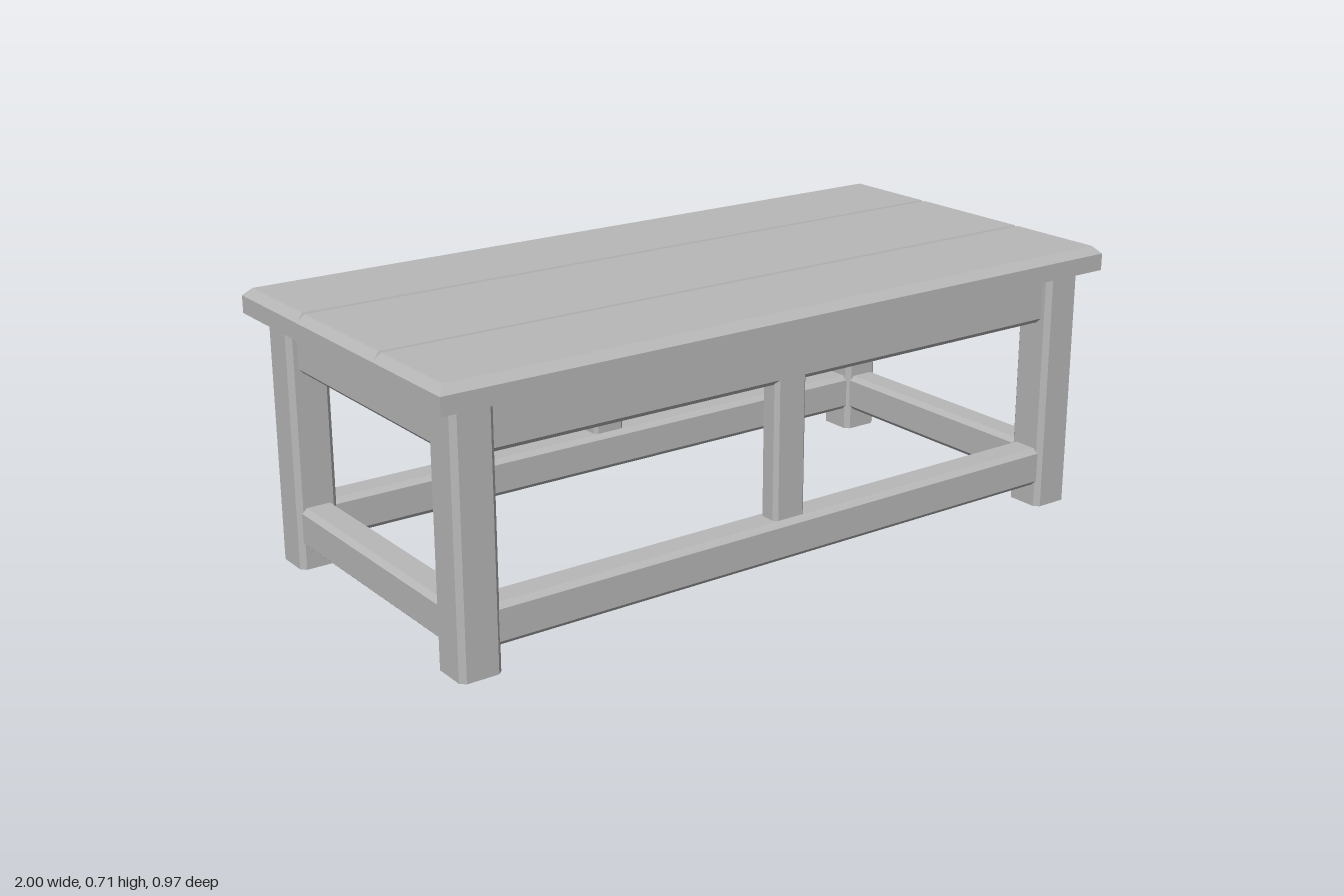
import * as THREE from 'three';

const wood = new THREE.MeshStandardMaterial({ color: 0xb8b8b8 });
wood.name = 'grey wood';

// Closed shape extruded along z and centred on z = 0
function prism(points, length) {
  const shape = new THREE.Shape(points.map(([x, y]) => new THREE.Vector2(x, y)));
  const geometry = new THREE.ExtrudeGeometry(shape, { depth: length, bevelEnabled: false });
  return geometry.translate(0, 0, -length / 2);
}

// Beam along z whose four long edges are chamfered
function beam(width, height, length, c = 0.013) {
  const w = width / 2, h = height / 2;
  return prism([
    [-w + c, -h], [w - c, -h], [w, -h + c], [w, h - c],
    [w - c, h], [-w + c, h], [-w, h - c], [-w, -h + c],
  ], length);
}

export function createModel() {
  const model = new THREE.Group();
  model.name = 'coffeeTable';

  function add(name, geometry, x, y, z) {
    const mesh = new THREE.Mesh(geometry, wood);
    mesh.name = name;
    mesh.position.set(x, y, z);
    model.add(mesh);
  }

  // Table top: square slab, then a bevelled layer with two V grooves
  const edgeY = 0.695, topY = 0.715, half = 0.485, bevel = topY - edgeY;
  add('topSlab', new THREE.BoxGeometry(2, 0.045, half * 2), 0, edgeY - 0.0225, 0);

  const profile = [[-half, 0], [half, 0], [half - bevel, bevel]];
  for (const z of [0.187, -0.187]) {
    profile.push([z + 0.007, bevel], [z, 0.005], [z - 0.007, bevel]);
  }
  profile.push([-half + bevel, bevel]);
  const planks = prism(profile, 2).rotateY(Math.PI / 2);
  // Slope the ends inward to match the long bevels
  const p = planks.attributes.position;
  for (let i = 0; i < p.count; i++) {
    p.setX(i, Math.sign(p.getX(i)) * (1 - p.getY(i)));
  }
  planks.computeVertexNormals();
  add('topPlanks', planks, 0, edgeY, 0);

  // Legs
  const legX = 0.9, legZ = 0.395;
  const leg = beam(0.11, 0.11, 0.652).rotateX(Math.PI / 2);
  for (const sx of [1, -1]) {
    for (const sz of [1, -1]) add('leg', leg, sx * legX, 0.326, sz * legZ);
  }

  // Aprons under the top, stretchers near the floor
  const longApron = beam(0.06, 0.14, 1.72).rotateY(Math.PI / 2);
  const longStretcher = beam(0.09, 0.105, 1.72).rotateY(Math.PI / 2);
  const sideApron = beam(0.06, 0.14, 0.71);
  const sideStretcher = beam(0.09, 0.105, 0.71);
  const post = beam(0.096, 0.06, 0.39, 0.01).rotateX(Math.PI / 2);
  for (const s of [1, -1]) {
    add('longApron', longApron, 0, 0.586, s * legZ);
    add('longStretcher', longStretcher, 0, 0.1125, s * legZ);
    add('sideApron', sideApron, s * legX, 0.586, 0);
    add('sideStretcher', sideStretcher, s * legX, 0.1125, 0);
    add('middlePost', post, 0, 0.345, s * legZ);
  }
  return model;
}
